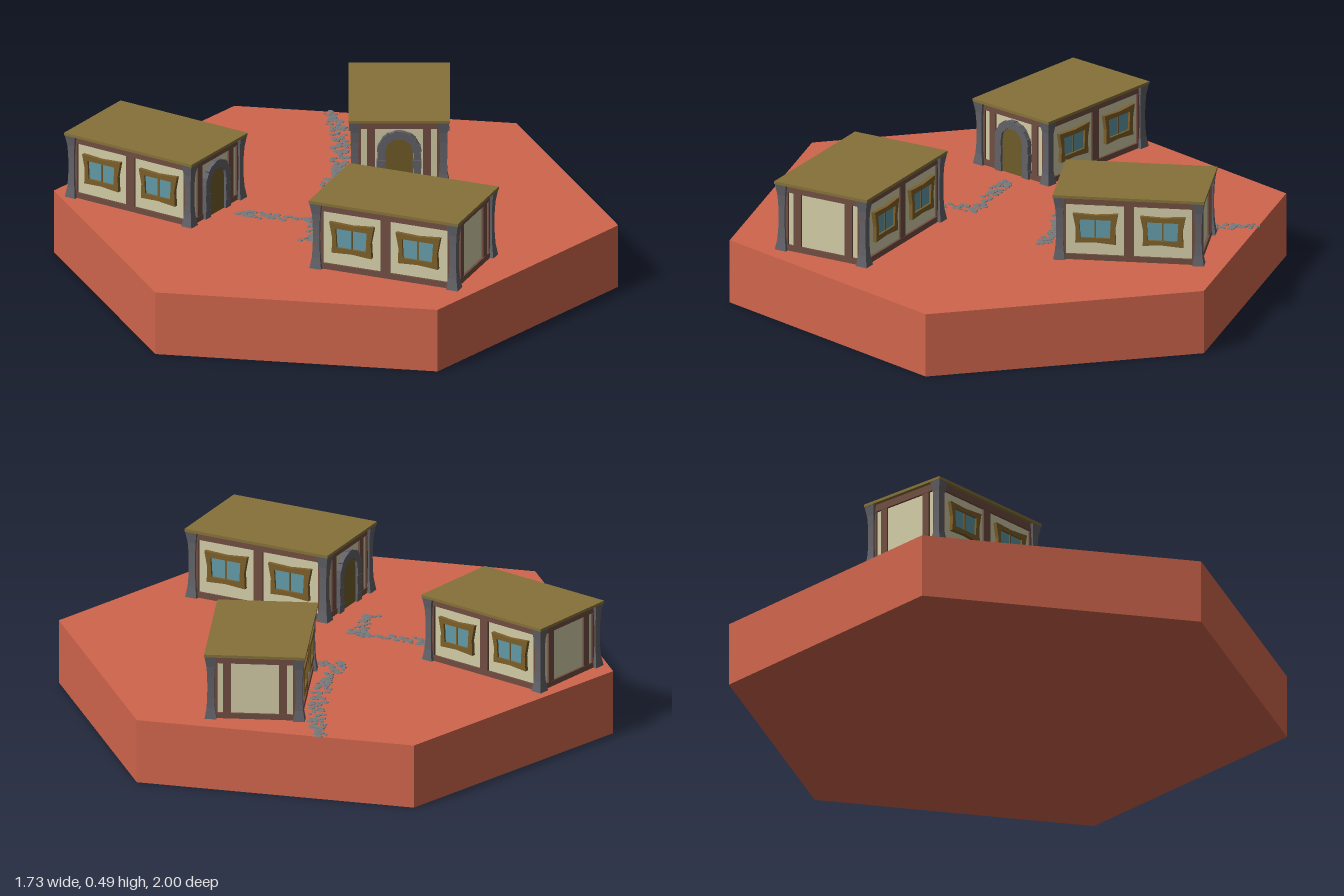
import * as THREE from 'three';
import { mergeGeometries } from 'three/addons/utils/BufferGeometryUtils.js';

const mat = (name, color) => {
  const m = new THREE.MeshStandardMaterial({ color, flatShading: true });
  m.name = name;
  return m;
};

export function createModel() {
  const clay = mat('clay', 0xd0654c), roofMat = mat('olive roof', 0x857138);
  const plaster = mat('plaster', 0xd2cca6), timber = mat('timber', 0x704d41);
  const stone = mat('dark stone', 0x626268), frameMat = mat('window wood', 0x7c5f2a);
  const glass = mat('glass', 0x639aa6), doorMat = mat('door wood', 0x6f5c28);
  const pebbleMat = mat('pebble grey', 0x777a7c);

  const BASE = 0.233, W = 0.31, L = 0.49, H = 0.232;

  const add = (parent, name, geo, material, x = 0, y = 0, z = 0) => {
    const m = new THREE.Mesh(geo, material);
    m.name = name;
    m.position.set(x, y, z);
    parent.add(m);
    return m;
  };
  const box = (parent, name, material, w, h, d, x, y, z) =>
    add(parent, name, new THREE.BoxGeometry(w, h, d), material, x, y, z);

  // Corner post, waisted in the middle and flared at foot and head
  function postGeometry() {
    const g = new THREE.BoxGeometry(0.024, H, 0.024, 1, 6, 1), p = g.attributes.position;
    for (let i = 0; i < p.count; i++) {
      const t = Math.abs(p.getY(i)) / (H / 2), s = 1 + 0.75 * t * t * t;
      p.setX(i, p.getX(i) * s);
      p.setZ(i, p.getZ(i) * s);
    }
    return g;
  }
  const post = postGeometry();

  // Crooked window frame with two panes
  const outline = pts => pts.map(([x, y]) => new THREE.Vector2(x, y));
  const frameShape = new THREE.Shape(outline([
    [-0.07, -0.054], [0.0, -0.05], [0.073, -0.056], [0.07, 0], [0.081, 0.057],
    [0, 0.05], [-0.079, 0.054], [-0.068, 0]]));
  frameShape.holes.push(new THREE.Path(outline([
    [-0.052, -0.034], [-0.056, 0.034], [0.056, 0.034], [0.052, -0.034]])));
  const frameGeo = new THREE.ExtrudeGeometry(frameShape, { depth: 0.014, bevelEnabled: false });

  function addWindow(wall, x) {
    const w = new THREE.Group();
    w.name = 'window';
    w.position.set(x, 0.119, 0);
    add(w, 'windowFrame', frameGeo, frameMat);
    box(w, 'windowPane', glass, 0.114, 0.072, 0.006, 0, 0, 0.003);
    box(w, 'mullion', frameMat, 0.006, 0.072, 0.009, 0, 0, 0.0045);
    wall.add(w);
  }

  // Arched door with separate stones around it
  function addDoor(wall) {
    const r = 0.049, cy = 0.122;
    const s = new THREE.Shape();
    s.moveTo(-r, 0);
    s.lineTo(r, 0);
    s.lineTo(r, cy);
    s.absarc(0, cy, r, 0, Math.PI, false);
    s.lineTo(-r, 0);
    add(wall, 'door', new THREE.ExtrudeGeometry(s, { depth: 0.009, bevelEnabled: false, curveSegments: 10 }), doorMat);
    for (const side of [-1, 1])
      for (let i = 0; i < 4; i++)
        box(wall, 'jambStone', stone, i % 2 ? 0.026 : 0.031, 0.03, 0.018, side * 0.063, 0.015 + i * 0.0305, 0.009);
    const n = 9;
    for (let i = 0; i < n; i++) {
      const a = Math.PI * (i + 0.5) / n;
      const b = box(wall, 'archStone', stone, i % 2 ? 0.026 : 0.03, 0.025, 0.018,
        Math.cos(a) * 0.062, cy + Math.sin(a) * 0.062, 0.009);
      b.rotation.z = a;
    }
  }

  // Timber boards of one wall; its local z points outwards
  function makeWall(house, name, width, dist, angle) {
    const wall = new THREE.Group();
    wall.name = name;
    wall.rotation.y = angle;
    wall.position.set(Math.sin(angle) * dist, 0, Math.cos(angle) * dist);
    box(wall, 'sillBeam', timber, width, 0.02, 0.008, 0, 0.01, 0.004);
    box(wall, 'topBeam', timber, width, 0.026, 0.008, 0, H - 0.013, 0.004);
    for (const s of [-1, 1])
      box(wall, 'edgeBoard', timber, 0.016, H, 0.006, s * (width / 2 - 0.014), H / 2, 0.003);
    house.add(wall);
    return wall;
  }

  function makeHouse(name, x, z, angle, scale) {
    const house = new THREE.Group();
    house.name = name;
    house.position.set(x, BASE, z);
    house.rotation.y = angle;
    house.scale.setScalar(scale);
    box(house, 'plasterWalls', plaster, W, H, L, 0, H / 2, 0);
    box(house, 'flatRoof', roofMat, 0.355, 0.01, 0.535, 0, H + 0.005, 0);
    for (const sx of [-1, 1])
      for (const sz of [-1, 1])
        add(house, 'cornerPost', post, stone, sx * W / 2, H / 2, sz * L / 2);

    // Long walls with two windows each
    for (const s of [-1, 1]) {
      const wall = makeWall(house, 'longWall', L, W / 2, s * Math.PI / 2);
      box(wall, 'middleStud', timber, 0.034, H, 0.007, 0, H / 2, 0.0035);
      for (const k of [-1, 1]) addWindow(wall, k * 0.119);
    }
    // Door end and plain end
    const front = makeWall(house, 'doorWall', W, L / 2, 0);
    const back = makeWall(house, 'plainWall', W, L / 2, Math.PI);
    for (const wall of [front, back])
      for (const s of [-1, 1])
        box(wall, 'stud', timber, 0.028, H, 0.007, s * 0.098, H / 2, 0.0035);
    addDoor(front);
    return house;
  }

  // Seeded random numbers for the scattered pebbles
  let seed = 7;
  const rnd = () => (seed = (seed * 16807) % 2147483647) / 2147483647;

  function makePath(points, name) {
    const curve = new THREE.CatmullRomCurve3(points.map(([x, z]) => new THREE.Vector3(x, 0, z)), false, 'catmullrom', 0.2);
    const count = Math.round(curve.getLength() / 0.0062), parts = [];
    for (let i = 0; i < count; i++) {
      const p = curve.getPointAt(i / (count - 1));
      const r = 0.007 + rnd() * 0.008;
      const g = new THREE.CylinderGeometry(r * 0.85, r, 0.003, 6);
      g.scale(1, 1, 0.6 + rnd() * 0.5);
      g.rotateY(rnd() * 6.28);
      g.translate(p.x + (rnd() - 0.5) * 0.055, BASE + 0.001 + rnd() * 0.001, p.z + (rnd() - 0.5) * 0.045);
      parts.push(g);
    }
    return add(model, name, mergeGeometries(parts), pebbleMat);
  }

  const model = new THREE.Group();
  model.name = 'villageTile';

  // Hexagonal ground
  add(model, 'hexBase', new THREE.CylinderGeometry(1, 1, BASE, 6), clay, 0, BASE / 2, 0);

  model.add(makeHouse('leftHouse', -0.552, -0.32, Math.atan2(0.31, 0.435), 1));
  model.add(makeHouse('frontHouse', 0.048, 0.54, Math.atan2(-0.41, -0.387), 1.055));
  model.add(makeHouse('rightHouse', 0.376, -0.368, Math.atan2(-0.19, 0.5), 1));

  makePath([[0.285, -0.82], [0.28, -0.75], [0.24, -0.6], [0.19, -0.45], [0.13, -0.32], [0.07, -0.24],
    [0.04, -0.17], [0.12, -0.15], [0.22, -0.1], [0.3, -0.05]], 'longPath');
  makePath([[-0.34, -0.08], [-0.27, -0.03], [-0.2, 0.02], [-0.14, 0.07], [-0.1, 0.09], [-0.13, 0.14],
    [-0.17, 0.2], [-0.2, 0.25]], 'shortPath');

  return model;
}
